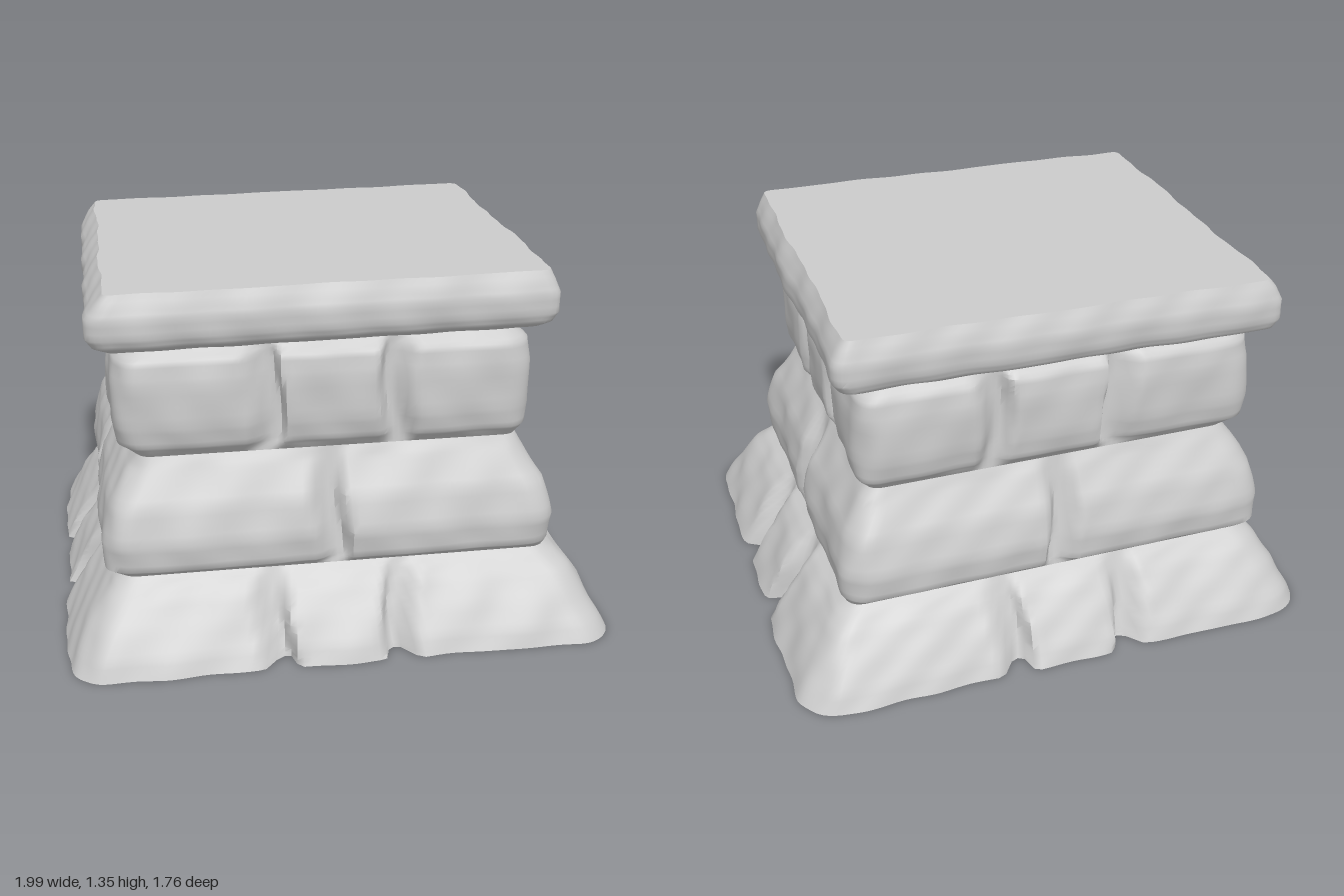
import * as THREE from 'three';
import { toCreasedNormals } from 'three/addons/utils/BufferGeometryUtils.js';

const N = 72; // samples along each side
const material = new THREE.MeshStandardMaterial({ color: 0xcccccc, side: THREE.DoubleSide });
const { lerp, smoothstep } = THREE.MathUtils;

// Gentle hand-carved unevenness
const lump = (x, y, z) =>
  0.5 * Math.sin(9 * x + 5 * y + 1.3) * Math.cos(8 * z - 6 * y) +
  0.3 * Math.sin(21 * x - 13 * y + 17 * z) + 0.2 * Math.sin(37 * z + 29 * x + 23 * y);

// Walk round a square: front, left, back, right (outside faces outward)
const ring = [];
for (let side = 0; side < 4; side++) {
  for (let i = 0; i < N; i++) {
    const s = -1 + (2 * i) / N;
    ring.push([[s, 1], [1, -s], [-s, -1], [-1, s]][side]);
  }
}

// Point on a rounded rectangle; row = { y, hx, hz, cx, r }
function outline([sx, sz], { y, hx, hz, cx, r }) {
  const x = sx * hx, z = sz * hz;
  const qx = THREE.MathUtils.clamp(x, r - hx, hx - r);
  const qz = THREE.MathUtils.clamp(z, r - hz, hz - r);
  const d = Math.hypot(x - qx, z - qz) || 1;
  return new THREE.Vector3(cx + qx + ((x - qx) / d) * r, y, qz + ((z - qz) / d) * r);
}

// Skin between successive rings of points
function skin(name, rings, crease = 0.9) {
  const n = ring.length, index = [];
  for (let j = 0; j < rings.length - 1; j++) {
    for (let i = 0; i < n; i++) {
      const k = (i + 1) % n;
      const a = j * n + i, b = j * n + k, c = a + n, d = b + n;
      index.push(a, b, d, a, d, c);
    }
  }
  const geometry = new THREE.BufferGeometry().setFromPoints(rings.flat());
  geometry.setIndex(index);
  const mesh = new THREE.Mesh(toCreasedNormals(geometry, crease), material);
  mesh.name = name;
  return mesh;
}

// Subdivide a profile of [y, hx, hz, cx, r] into rows
function rows(profile, steps = 4) {
  const out = [];
  profile.forEach((p, j) => {
    const q = profile[j + 1];
    for (let k = 0; k < (q ? steps : 1); k++) {
      const [y, hx, hz, cx, r] = p.map((v, m) => (q ? lerp(v, q[m], k / steps) : v));
      out.push({ y, hx, hz, cx, r });
    }
  });
  return out;
}

// Recessed mortar surface at a height
const mortarLine = [
  [0, 0.89, 0.79, 0, 0.1], [0.3, 0.775, 0.67, -0.01, 0.06],
  [0.72, 0.68, 0.592, -0.025, 0.05], [1.13, 0.66, 0.575, -0.04, 0.05],
];
function mortar(y) {
  const j = y < 0.3 ? 0 : y < 0.72 ? 1 : 2;
  const a = mortarLine[j], b = mortarLine[j + 1];
  const t = (y - a[0]) / (b[0] - a[0]);
  const [, hx, hz, cx, r] = a.map((v, m) => lerp(v, b[m], t));
  return { y, hx, hz, cx, r };
}

// Stone courses: bulging profile plus the upright joints on each pair of sides
const courses = [
  {
    name: 'baseStones', jointsX: [-0.25, 0.2], jointsZ: [-0.21, 0.19],
    profile: [[0, 0.985, 0.872, 0, 0.14], [0.06, 0.955, 0.845, 0, 0.13], [0.15, 0.905, 0.79, 0, 0.11],
      [0.23, 0.85, 0.735, 0, 0.09], [0.275, 0.81, 0.695, -0.005, 0.08], [0.3, 0.775, 0.67, -0.01, 0.06]],
  },
  {
    name: 'middleStones', jointsX: [-0.035], jointsZ: [-0.01],
    profile: [[0.3, 0.775, 0.67, -0.01, 0.06], [0.33, 0.808, 0.705, -0.03, 0.09], [0.43, 0.815, 0.714, -0.03, 0.1],
      [0.56, 0.785, 0.678, -0.03, 0.1], [0.66, 0.725, 0.624, -0.03, 0.08], [0.72, 0.68, 0.592, -0.025, 0.05]],
  },
  {
    name: 'upperStones', jointsX: [-0.26, 0.205], jointsZ: [-0.21, 0.17],
    profile: [[0.72, 0.68, 0.592, -0.025, 0.05], [0.765, 0.728, 0.63, -0.043, 0.08], [0.84, 0.742, 0.645, -0.045, 0.1],
      [1.0, 0.742, 0.645, -0.045, 0.1], [1.08, 0.728, 0.632, -0.045, 0.09], [1.13, 0.66, 0.575, -0.04, 0.05]],
  },
];

function courseRings({ profile, jointsX, jointsZ }) {
  const foot = profile[0][0], top = profile.at(-1)[0];
  return rows(profile).map((row) => ring.map((s) => {
    const stone = outline(s, row);
    const frontOrBack = Math.abs(s[1]) === 1;
    const along = frontOrBack ? stone.x : stone.z;
    const wobble = 0.012 * Math.sin(14 * row.y + 3 * (s[0] + s[1]));
    const gap = Math.min(...(frontOrBack ? jointsX : jointsZ).map((g) => Math.abs(along - g - wobble)));
    // lumps fade out at the shared joints between courses
    const fade = (foot === 0 ? 1 : smoothstep(row.y, foot, foot + 0.04)) * (1 - smoothstep(row.y, top - 0.04, top));
    const bulge = 0.013 * fade * lump(stone.x, row.y, stone.z);
    stone.x *= 1 + bulge;
    stone.z *= 1 + bulge;
    return outline(s, mortar(row.y)).lerp(stone, smoothstep(gap, 0.015, 0.07));
  }));
}

// Cap slab with worn edges and a very slight tilt
function slabRings() {
  const profile = [[1.13, 0.66, 0.575, -0.04, 0.05], [1.132, 0.755, 0.645, -0.045, 0.04],
    [1.155, 0.792, 0.682, -0.045, 0.05], [1.19, 0.81, 0.698, -0.045, 0.05], [1.26, 0.81, 0.7, -0.045, 0.05],
    [1.305, 0.785, 0.685, -0.04, 0.04], [1.34, 0.76, 0.67, -0.035, 0.03]];
  const rings = rows(profile, 3).map((row) => ring.map((s) => {
    const p = outline(s, row);
    const k = 0.013 * lump(p.x, row.y, p.z);
    p.x *= 1 + k;
    p.z *= 1 + k;
    p.y += 0.012 * p.x + 0.003 * p.z;
    return p;
  }));
  const centre = new THREE.Vector3(-0.035, 1.34, 0);
  rings.push(ring.map(() => centre.clone()));
  return rings;
}

export function createModel() {
  const group = new THREE.Group();
  group.name = 'stonePedestal';
  const rings = courses.map(courseRings);
  courses.forEach((course, i) => group.add(skin(course.name, rings[i])));
  group.add(skin('capSlab', slabRings(), 0.7));
  // Underside of the base stones, around the open bottom
  const opening = ring.map((s) => outline(s, mortar(0)));
  group.add(skin('baseRim', [opening, rings[0][0]]));
  return group;
}
